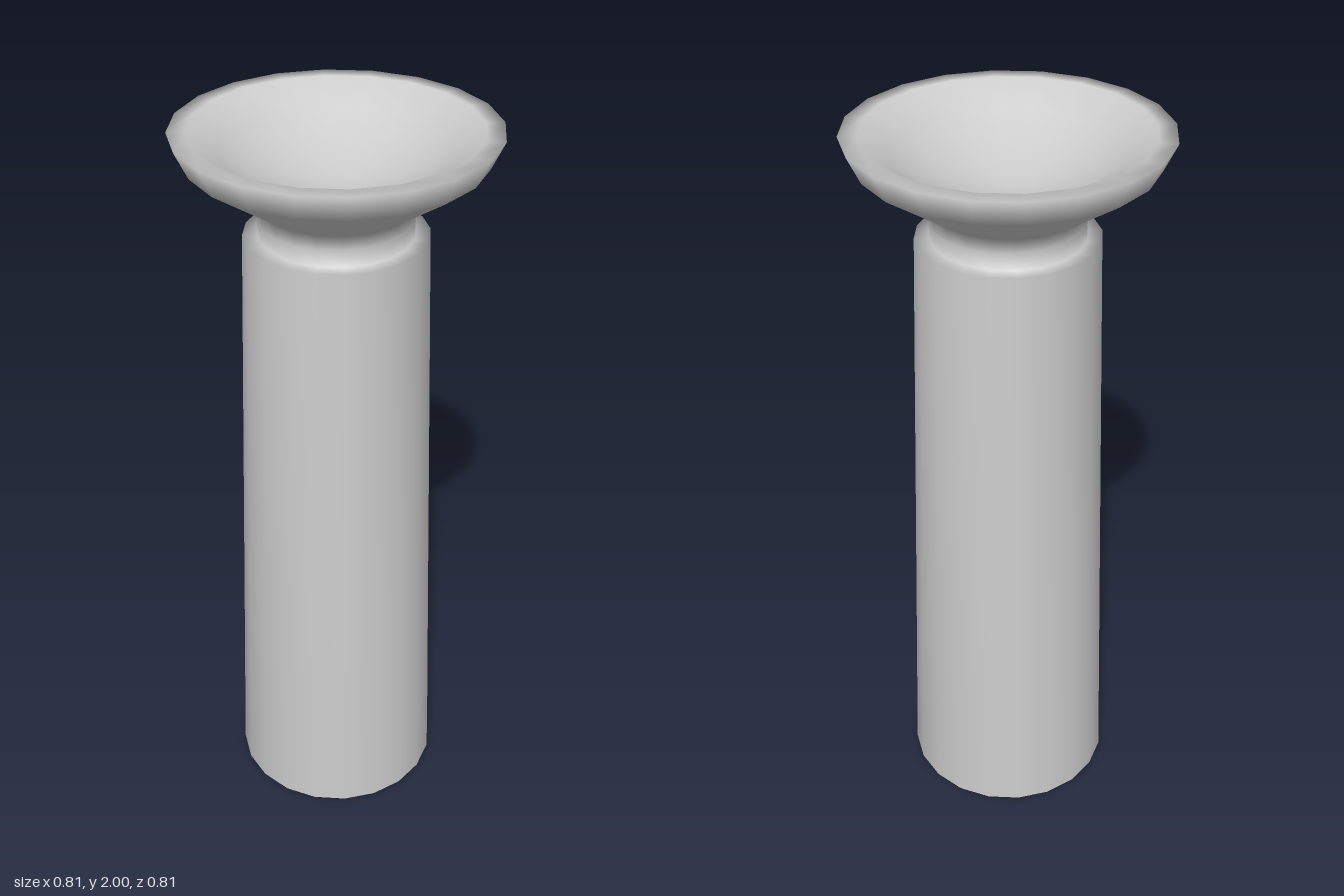
import * as THREE from 'three';
import { mergeVertices } from 'three/addons/utils/BufferGeometryUtils.js';

const SIDES = 20;
const material = new THREE.MeshStandardMaterial({ color: 0xcccccc, side: THREE.DoubleSide });

// Turned part with area-weighted smooth normals
function turned(name, profile) {
  const points = profile.map(([r, y]) => new THREE.Vector2(r, y));
  let geometry = new THREE.LatheGeometry(points, SIDES);
  geometry.deleteAttribute('normal');
  geometry.deleteAttribute('uv');
  geometry = mergeVertices(geometry, 1e-4);
  geometry.computeVertexNormals();
  const mesh = new THREE.Mesh(geometry, material);
  mesh.name = name;
  return mesh;
}

export function createModel() {
  const group = new THREE.Group();
  group.name = 'pedestalDish';

  // Hollow tapered column, open below, with a ledge and the lower neck
  group.add(turned('column', [[0.29, 0], [0.235, 1.73], [0.197, 1.73], [0.197, 1.775]]));

  // Flared dish: upper neck, cone, bevelled lip and flat rim
  const dish = [[0.197, 1.775], [0.197, 1.81], [0.372, 1.93], [0.405, 2], [0.36, 2]];
  // Shallow rounded bowl running down to the centre
  const bowlRadius = 0.36, depth = 0.15, rings = 5;
  for (let i = rings - 1; i >= 0; i--) {
    const t = i / rings;
    dish.push([bowlRadius * t, 2 - depth * (1 - t * t)]);
  }
  group.add(turned('dish', dish));

  return group;
}
